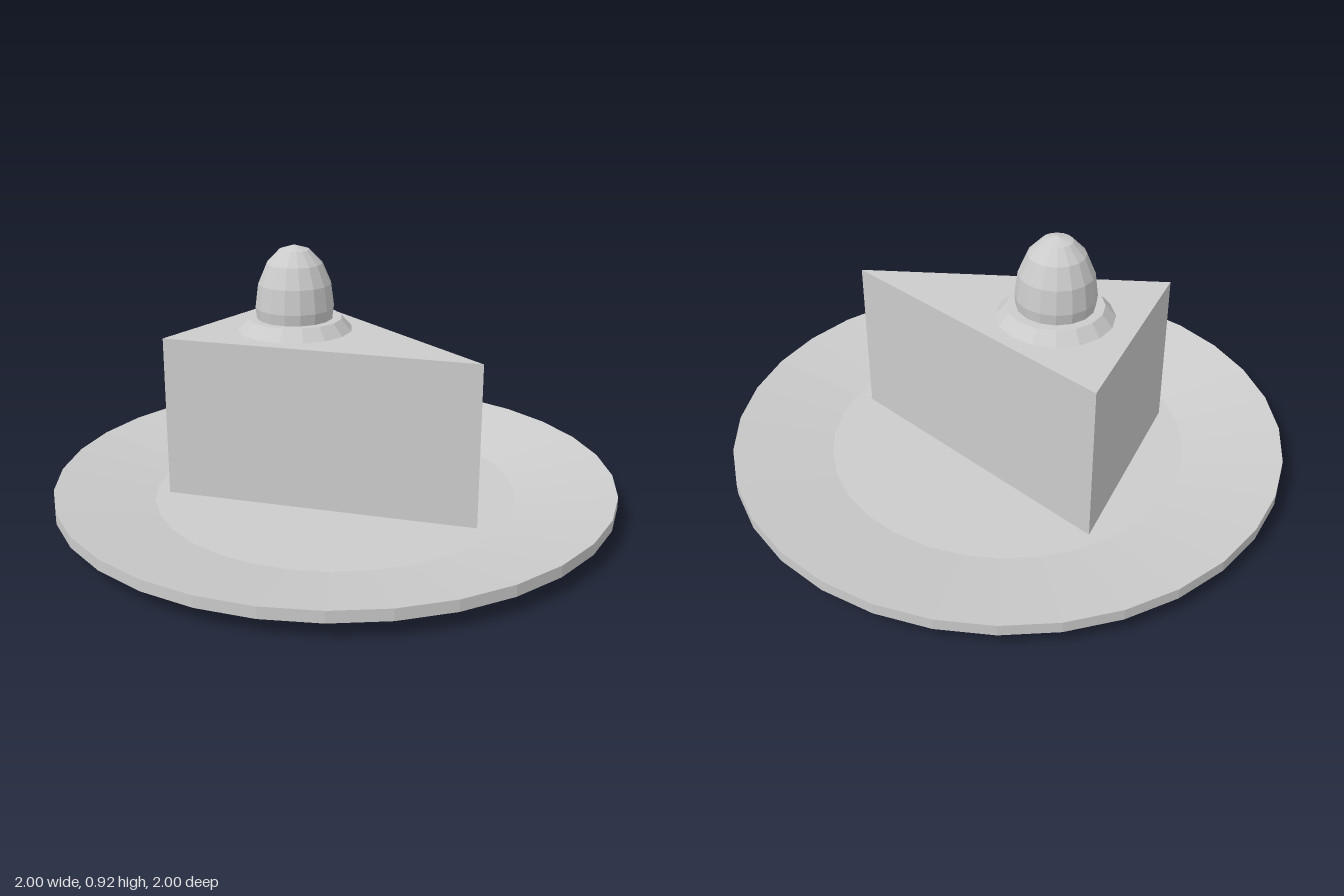
import * as THREE from 'three';

const material = new THREE.MeshStandardMaterial({ color: 0xcccccc, flatShading: true });

function addPart(group, name, geometry, x = 0, y = 0, z = 0) {
  const mesh = new THREE.Mesh(geometry, material);
  mesh.name = name;
  mesh.position.set(x, y, z);
  group.add(mesh);
  return mesh;
}

export function createModel() {
  const group = new THREE.Group();
  group.name = 'cakeSliceOnPlate';

  // Shallow plate: flat base, sloping rim, sunken centre
  const profile = [[0, 0], [0.65, 0], [1, 0.06], [1, 0.1], [0.65, 0.037], [0, 0.037]]
    .map(([r, y]) => new THREE.Vector2(r, y));
  addPart(group, 'plate', new THREE.LatheGeometry(profile, 32));

  // Triangular slice standing on the plate, tip towards the front
  const outline = new THREE.Shape([
    new THREE.Vector2(-0.377, 0.468),
    new THREE.Vector2(0, -0.585),
    new THREE.Vector2(0.377, 0.468),
  ]);
  const slice = new THREE.ExtrudeGeometry(outline, { depth: 0.578, bevelEnabled: false });
  slice.rotateX(-Math.PI / 2);
  addPart(group, 'cakeSlice', slice, 0, 0.037, 0);

  // Topping: tapered cream disc with an egg-shaped berry sunk into it
  const toppingZ = -0.178;
  addPart(group, 'cream', new THREE.CylinderGeometry(0.169, 0.206, 0.042, 16), 0, 0.636, toppingZ);
  const berry = new THREE.SphereGeometry(0.141, 16, 8);
  berry.scale(1, 0.222 / 0.141, 1);
  addPart(group, 'berry', berry, 0, 0.696, toppingZ);

  return group;
}
